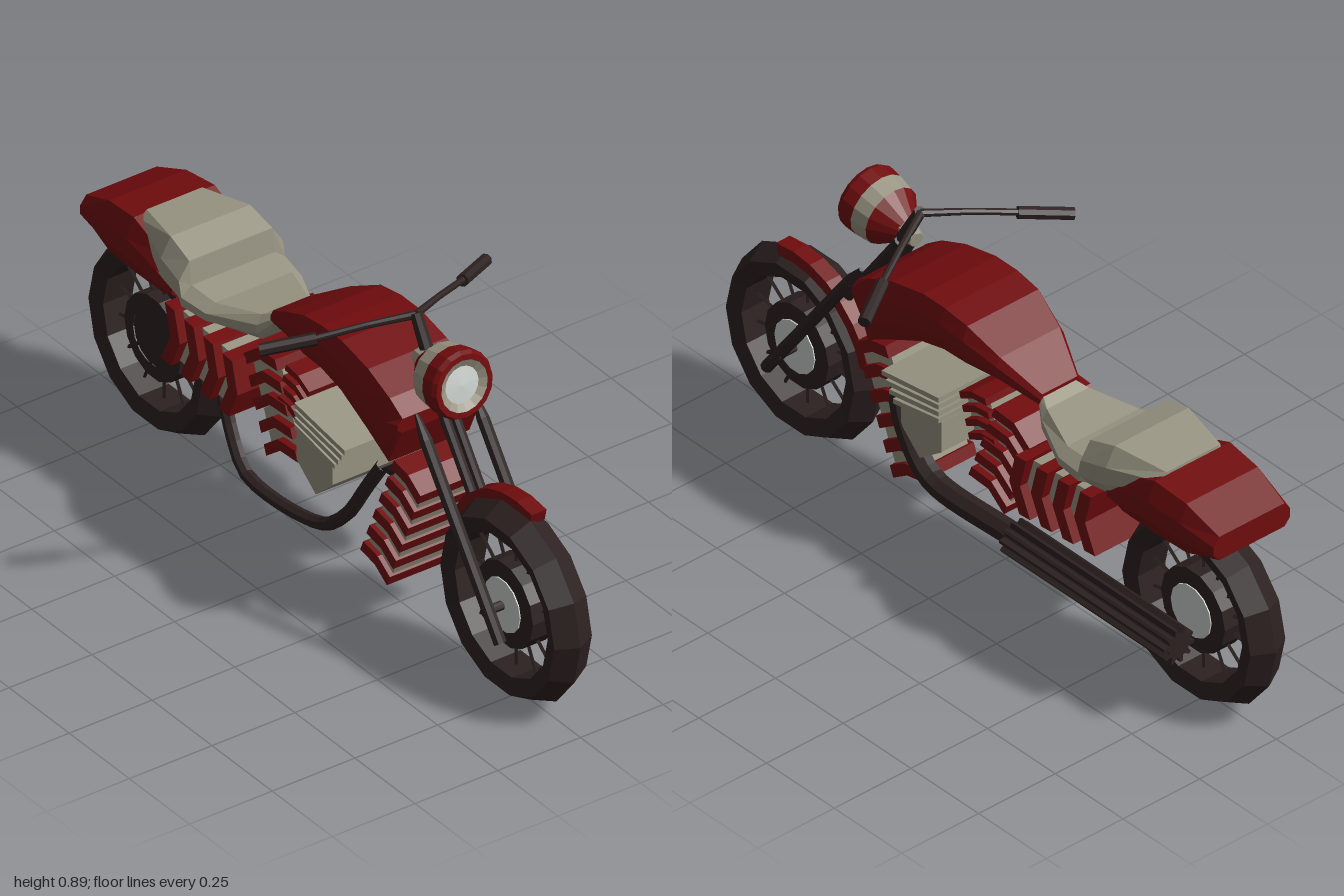
import * as THREE from 'three';

const paint = (name, color) => {
  const m = new THREE.MeshStandardMaterial({ color });
  m.name = name;
  return m;
};

export function createModel() {
  const red = paint('deep red', 0x720c0e);
  const dark = paint('dark brown metal', 0x2d2121);
  const beige = paint('warm grey', 0x9a9684);
  const light = paint('pale glass', 0xd0d6d2);
  const bike = new THREE.Group();
  bike.name = 'motorcycle';
  const V = (x, y, z) => new THREE.Vector3(x, y, z);

  // Adds a faceted mesh
  function add(name, geo, mat, parent = bike) {
    const g = geo.index ? geo.toNonIndexed() : geo;
    g.computeVertexNormals();
    const m = new THREE.Mesh(g, mat);
    m.name = name;
    parent.add(m);
    return m;
  }

  // Straight round bar between two points
  function rod(name, a, b, r0, r1, mat, sides = 8, parent = bike) {
    const m = add(name, new THREE.CylinderGeometry(r1, r0, a.distanceTo(b), sides), mat, parent);
    m.position.copy(a).lerp(b, 0.5);
    m.quaternion.setFromUnitVectors(V(0, 1, 0), b.clone().sub(a).normalize());
    return m;
  }

  // Side profile of [z, y] points extruded from x0 to x1
  function slab(name, pts, x0, x1, mat, parent = bike) {
    const shape = new THREE.Shape(pts.map(p => new THREE.Vector2(p[0], p[1])));
    const g = new THREE.ExtrudeGeometry(shape, { depth: x1 - x0, bevelEnabled: false });
    g.rotateY(-Math.PI / 2).translate(x1, 0, 0);
    return add(name, g, mat, parent);
  }

  // Body lofted through [z, top, bottom, half width] sections, front to back
  function loft(name, sections, topW, lowW, mat) {
    const pos = [], idx = [], n = 8;
    for (const [z, t, b, w] of sections) {
      const h = t - b;
      const half = [[w * lowW, b], [w, b + h * 0.3], [w, b + h * 0.65], [w * topW, t]];
      for (const [x, y] of half) pos.push(x, y, z);
      for (const [x, y] of half.reverse()) pos.push(-x, y, z);
    }
    const last = (sections.length - 1) * n;
    for (let i = 0; i < last; i += n)
      for (let j = 0; j < n; j++) {
        const k = (j + 1) % n;
        idx.push(i + j, i + n + j, i + n + k, i + j, i + n + k, i + k);
      }
    for (let j = 1; j < n - 1; j++) idx.push(0, j, j + 1, last, last + j + 1, last + j);
    const g = new THREE.BufferGeometry();
    g.setAttribute('position', new THREE.Float32BufferAttribute(pos, 3));
    g.setIndex(idx);
    return add(name, g, mat);
  }

  // Alternating chevron fins stacked along a line a -> b in the [z, y] plane
  function finStack(name, a, b, count, depth, width, kink) {
    const group = new THREE.Group();
    group.name = name;
    bike.add(group);
    const len = Math.hypot(b[0] - a[0], b[1] - a[1]);
    const u = [(b[0] - a[0]) / len, (b[1] - a[1]) / len];
    const step = len / (count * 2 - 1);
    for (let i = 0; i < count * 2 - 1; i++) {
      const isRed = i % 2 === 0, s = i * step, e = s + step;
      const d = isRed ? depth : depth * 0.9, w = isRed ? width : width * 0.85;
      const pts = [[-d, s], [0, s + kink], [d, s], [d, e], [0, e + kink], [-d, e]]
        .map(([p, q]) => [a[0] + u[0] * q + u[1] * p, a[1] + u[1] * q - u[0] * p]);
      slab(isRed ? 'redFin' : 'greyFin', pts, -w, w, isRed ? red : beige, group);
    }
  }

  const lathe = (pts, sides) => new THREE.LatheGeometry(pts.map(p => new THREE.Vector2(p[0], p[1])), sides);

  // Wheels: ridged tyre, spokes, hub ring and pale hub caps
  function wheel(name, z, capSides) {
    const g = new THREE.Group();
    g.name = name;
    g.position.set(0, 0.268, z);
    bike.add(g);
    const tyre = [[0.193, -0.045], [0.237, -0.057], [0.268, 0], [0.237, 0.057], [0.193, 0.045], [0.193, -0.045]];
    add('tyre', lathe(tyre, 14).rotateZ(Math.PI / 2), dark, g);
    const ring = [[0.075, -0.04], [0.118, -0.035], [0.118, 0.035], [0.075, 0.04]];
    add('hubRing', lathe(ring, 14).rotateZ(Math.PI / 2), dark, g);
    add('hubCore', new THREE.CylinderGeometry(0.078, 0.078, 0.07, 14).rotateZ(Math.PI / 2), dark, g);
    for (const s of capSides)
      add('hubCap', new THREE.CylinderGeometry(0.074, 0.074, 0.009, 14).rotateZ(Math.PI / 2), light, g).position.x = s * 0.038;
    for (let i = 0; i < 14; i++) {
      const t = (i / 14) * Math.PI * 2, c = Math.cos(t), n = Math.sin(t);
      rod('spoke', V(0, c * 0.11, n * 0.11), V(0, c * 0.2, n * 0.2), 0.005, 0.005, dark, 4, g);
    }
  }
  wheel('frontWheel', 0.732, [-1, 1]);
  wheel('rearWheel', -0.732, [1]);

  // Half-width front mudguard
  const outer = [], inner = [];
  for (let i = 0; i <= 7; i++) {
    const t = THREE.MathUtils.degToRad(77 + i * 12.5), c = Math.cos(t), s = Math.sin(t);
    outer.push([0.732 + c * 0.288, 0.268 + s * 0.288]);
    inner.unshift([0.732 + c * 0.255, 0.268 + s * 0.255]);
  }
  slab('frontMudguard', [...outer, ...inner], 0, 0.045, red);

  // Fork, steering column and handlebar
  for (const s of [-1, 1]) {
    rod('forkLeg', V(s * 0.086, 0.2, 0.785), V(s * 0.086, 0.63, 0.475), 0.017, 0.017, dark);
    rod('forkTip', V(s * 0.086, 0.63, 0.475), V(s * 0.086, 0.685, 0.435), 0.017, 0.006, dark);
    rod('columnTube', V(s * 0.014, 0.5, 0.565), V(s * 0.014, 0.77, 0.375), 0.014, 0.014, dark);
    rod('handlebar', V(0, 0.88, 0.315), V(s * 0.11, 0.862, 0.26), 0.011, 0.009, dark);
    rod('handlebar', V(s * 0.11, 0.862, 0.26), V(s * 0.23, 0.835, 0.2), 0.009, 0.009, dark);
    rod('grip', V(s * 0.22, 0.836, 0.205), V(s * 0.342, 0.812, 0.135), 0.017, 0.017, dark);
  }
  rod('axle', V(-0.1, 0.268, 0.732), V(0.1, 0.268, 0.732), 0.012, 0.012, dark);
  rod('stem', V(0, 0.75, 0.39), V(0, 0.885, 0.315), 0.02, 0.016, dark);
  rod('lampBracket', V(-0.02, 0.785, 0.4), V(-0.01, 0.78, 0.34), 0.035, 0.02, beige);

  // Headlight, tipped slightly upward
  const lamp = new THREE.Group();
  lamp.name = 'headlight';
  lamp.position.set(-0.022, 0.802, 0.545);
  lamp.rotation.x = Math.PI / 2 - 0.14;
  bike.add(lamp);
  add('lampShell', lathe([[0, -0.16], [0.035, -0.16], [0.083, -0.098]], 16), red, lamp);
  add('lampBand', lathe([[0.083, -0.098], [0.09, -0.05]], 16), beige, lamp);
  add('lampRim', lathe([[0.09, -0.05], [0.092, -0.01], [0.085, 0.003], [0.07, 0.003]], 16), red, lamp);
  add('lampReflector', lathe([[0.07, 0.003], [0.05, -0.008]], 16), beige, lamp);
  add('lampGlass', lathe([[0.05, -0.008], [0, -0.004]], 16), light, lamp);

  // Tank, seat and tail
  loft('tank', [
    [0.42, 0.675, 0.635, 0.132], [0.37, 0.71, 0.525, 0.135], [0.28, 0.748, 0.575, 0.135],
    [0.17, 0.772, 0.63, 0.135], [0.09, 0.772, 0.65, 0.135], [0.01, 0.76, 0.65, 0.132],
    [-0.09, 0.71, 0.645, 0.11], [-0.2, 0.64, 0.605, 0.065]], 0.88, 0.9, red);
  loft('seat', [
    [-0.19, 0.635, 0.6, 0.06], [-0.23, 0.617, 0.545, 0.085], [-0.36, 0.6, 0.54, 0.145],
    [-0.445, 0.61, 0.54, 0.157], [-0.455, 0.675, 0.54, 0.157], [-0.54, 0.7, 0.55, 0.15],
    [-0.69, 0.685, 0.63, 0.105]], 0.8, 0.8, beige);
  loft('tail', [
    [-0.52, 0.575, 0.53, 0.13], [-0.57, 0.63, 0.52, 0.142], [-0.69, 0.677, 0.52, 0.144],
    [-0.8, 0.665, 0.518, 0.137], [-0.91, 0.62, 0.55, 0.125]], 0.85, 0.85, red);

  // Finned radiator, cylinder and rear engine case
  finStack('radiator', [0.26, 0.145], [0.4, 0.48], 6, 0.06, 0.088, 0.012);
  finStack('cylinder', [-0.07, 0.3], [-0.165, 0.55], 5, 0.07, 0.125, 0.022);
  finStack('smallCylinder', [-0.05, 0.44], [-0.012, 0.565], 4, 0.05, 0.12, 0.01);
  finStack('rearCase', [-0.23, 0.435], [-0.51, 0.46], 4, 0.085, 0.165, -0.03);

  // Front engine block with cooling plates
  slab('engineBlock', [[0.2, 0.44], [0.05, 0.47], [0.05, 0.38], [0.13, 0.32], [0.2, 0.385]], -0.168, 0.165, beige);
  for (let i = 0; i < 4; i++) {
    const y = 0.505 - i * 0.021, z = 0.26 - i * 0.014;
    slab('coolingPlate', [[z, y], [0.05, y + 0.03], [0.05, y + 0.044], [z, y + 0.014]], -0.175, 0.175, beige);
  }
  slab('engineCore', [[0.19, 0.45], [0.06, 0.46], [0.06, 0.54], [0.22, 0.515]], -0.155, 0.155, beige);

  // Exhaust, ribbed silencer and looping pipe on the other side
  const tube = (name, pts, r) => add(name,
    new THREE.TubeGeometry(new THREE.CatmullRomCurve3(pts, false, 'centripetal'), 20, r, 7), dark);
  tube('exhaustPipe', [V(0.11, 0.47, 0.25), V(0.135, 0.42, 0.23), V(0.14, 0.3, 0.165), V(0.14, 0.252, 0.1), V(0.14, 0.248, -0.21)], 0.032);
  tube('loopPipe', [V(-0.11, 0.49, 0.33), V(-0.12, 0.4, 0.275), V(-0.13, 0.28, 0.2), V(-0.135, 0.208, 0.1),
    V(-0.135, 0.188, -0.2), V(-0.125, 0.24, -0.265), V(-0.11, 0.36, -0.34)], 0.018);
  const gear = new THREE.Shape();
  for (let i = 0; i < 40; i++) {
    const r = i % 4 < 2 ? 0.05 : 0.034, t = ((i + 0.5) / 40) * Math.PI * 2;
    gear[i ? 'lineTo' : 'moveTo'](Math.cos(t) * r, Math.sin(t) * r);
  }
  const silencer = add('silencer', new THREE.ExtrudeGeometry(gear, { depth: 0.61, bevelEnabled: false }), dark);
  silencer.position.set(0.14, 0.246, -0.8);
  return bike;
}
